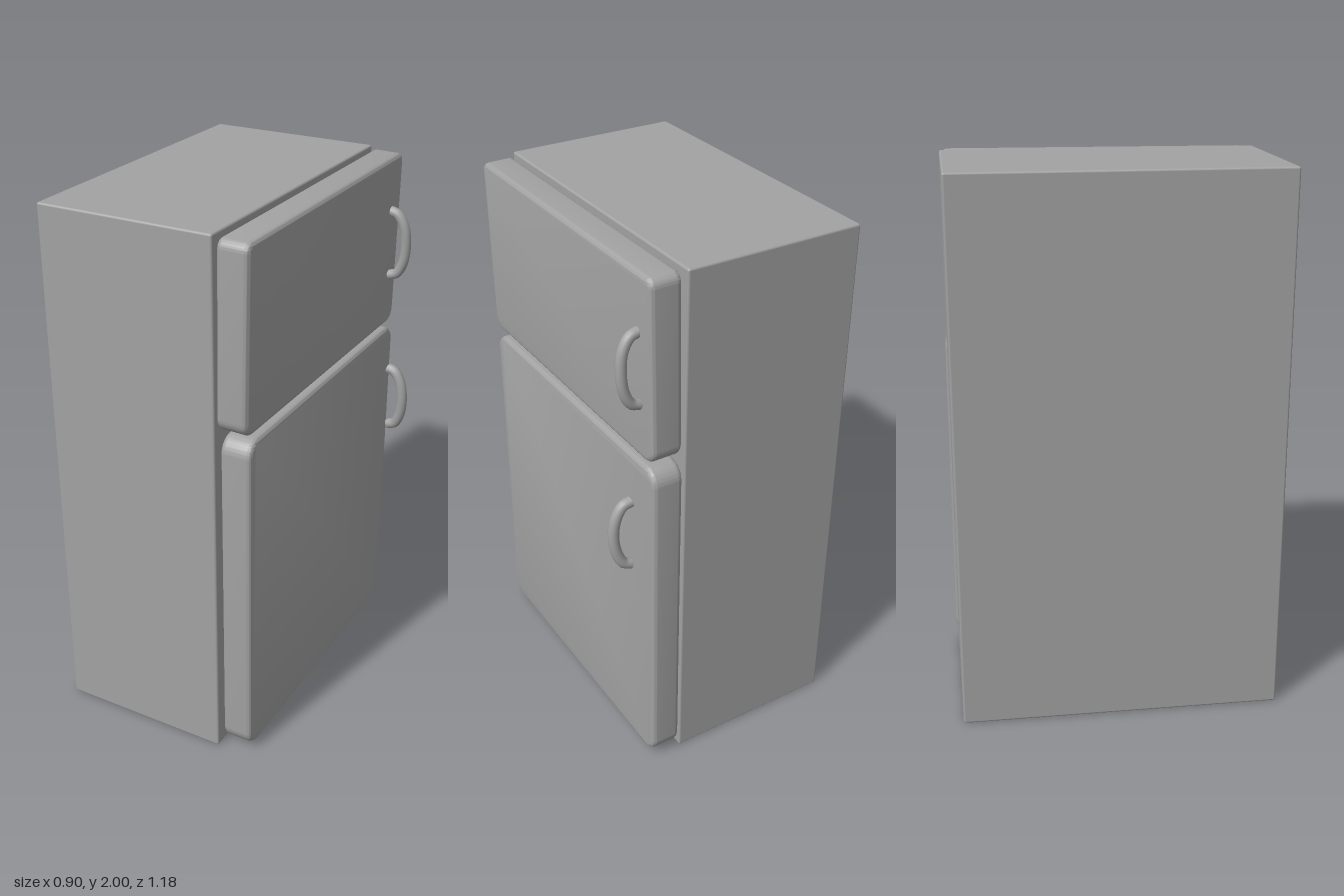
import * as THREE from 'three';
import { RoundedBoxGeometry } from 'three/addons/geometries/RoundedBoxGeometry.js';
import { toCreasedNormals } from 'three/addons/utils/BufferGeometryUtils.js';

const material = new THREE.MeshStandardMaterial({ color: 0xa2a2a2 });

function addMesh(parent, name, geometry) {
  const mesh = new THREE.Mesh(geometry, material);
  mesh.name = name;
  parent.add(mesh);
  return mesh;
}

// Door slab facing +x: rounded outline with separate top and bottom corner radii, soft bevelled rim
function doorGeometry(width, height, thickness, topRadius, bottomRadius) {
  const bevel = 0.018;
  const w = width / 2 - bevel, h = height / 2 - bevel;
  const t = topRadius, b = bottomRadius;
  const shape = new THREE.Shape();
  shape.moveTo(-w + b, -h);
  shape.lineTo(w - b, -h);
  shape.absarc(w - b, -h + b, b, -Math.PI / 2, 0);
  shape.lineTo(w, h - t);
  shape.absarc(w - t, h - t, t, 0, Math.PI / 2);
  shape.lineTo(-w + t, h);
  shape.absarc(-w + t, h - t, t, Math.PI / 2, Math.PI);
  shape.lineTo(-w, -h + b);
  shape.absarc(-w + b, -h + b, b, Math.PI, Math.PI * 1.5);
  const geometry = new THREE.ExtrudeGeometry(shape, {
    depth: thickness - 2 * bevel, bevelEnabled: true, bevelSize: bevel,
    bevelThickness: bevel, bevelSegments: 8, curveSegments: 8,
  });
  geometry.translate(0, 0, bevel - thickness / 2);
  geometry.rotateY(Math.PI / 2);
  return toCreasedNormals(geometry, 0.6);
}

// Bowed tube with flat capped ends
function addHandle(parent, name, points, radius) {
  const handle = new THREE.Group();
  handle.name = name;
  const curve = new THREE.CatmullRomCurve3(points.map((p) => new THREE.Vector3(...p)));
  addMesh(handle, 'grip', new THREE.TubeGeometry(curve, 32, radius, 14));
  for (const end of [0, 1]) {
    const cap = addMesh(handle, 'gripEnd', new THREE.CircleGeometry(radius, 14));
    const outward = curve.getTangent(end).multiplyScalar(end ? 1 : -1);
    cap.position.copy(curve.getPoint(end));
    cap.quaternion.setFromUnitVectors(new THREE.Vector3(0, 0, 1), outward);
  }
  parent.add(handle);
}

export function createModel() {
  const model = new THREE.Group();
  model.name = 'refrigerator';

  // Cabinet
  const cabinet = addMesh(model, 'cabinet', new RoundedBoxGeometry(0.658, 2, 1.175, 3, 0.008));
  cabinet.position.set(-0.121, 1, 0.005);

  // Freezer door, hung very slightly askew
  const freezerDoor = addMesh(model, 'freezerDoor', doorGeometry(1.17, 0.664, 0.115, 0.015, 0.035));
  freezerDoor.position.set(0.275, 1.659, 0.005);
  freezerDoor.rotation.set(0.004, -0.004, -0.015);

  // Main door
  const mainDoor = addMesh(model, 'mainDoor', doorGeometry(1.16, 1.283, 0.115, 0.045, 0.045));
  mainDoor.position.set(0.273, 0.662, -0.01);
  mainDoor.rotation.x = 0.003;

  // Handles
  addHandle(model, 'freezerHandle', [
    [0.33, 1.79, -0.497], [0.362, 1.78, -0.497], [0.39, 1.735, -0.499],
    [0.399, 1.665, -0.503], [0.39, 1.592, -0.506], [0.366, 1.547, -0.508], [0.335, 1.535, -0.508],
  ], 0.019);
  addHandle(model, 'mainHandle', [
    [0.36, 1.156, -0.492], [0.39, 1.147, -0.49], [0.418, 1.1, -0.489],
    [0.428, 1.03, -0.49], [0.419, 0.962, -0.495], [0.398, 0.919, -0.501], [0.369, 0.906, -0.505],
  ], 0.02);

  return model;
}
